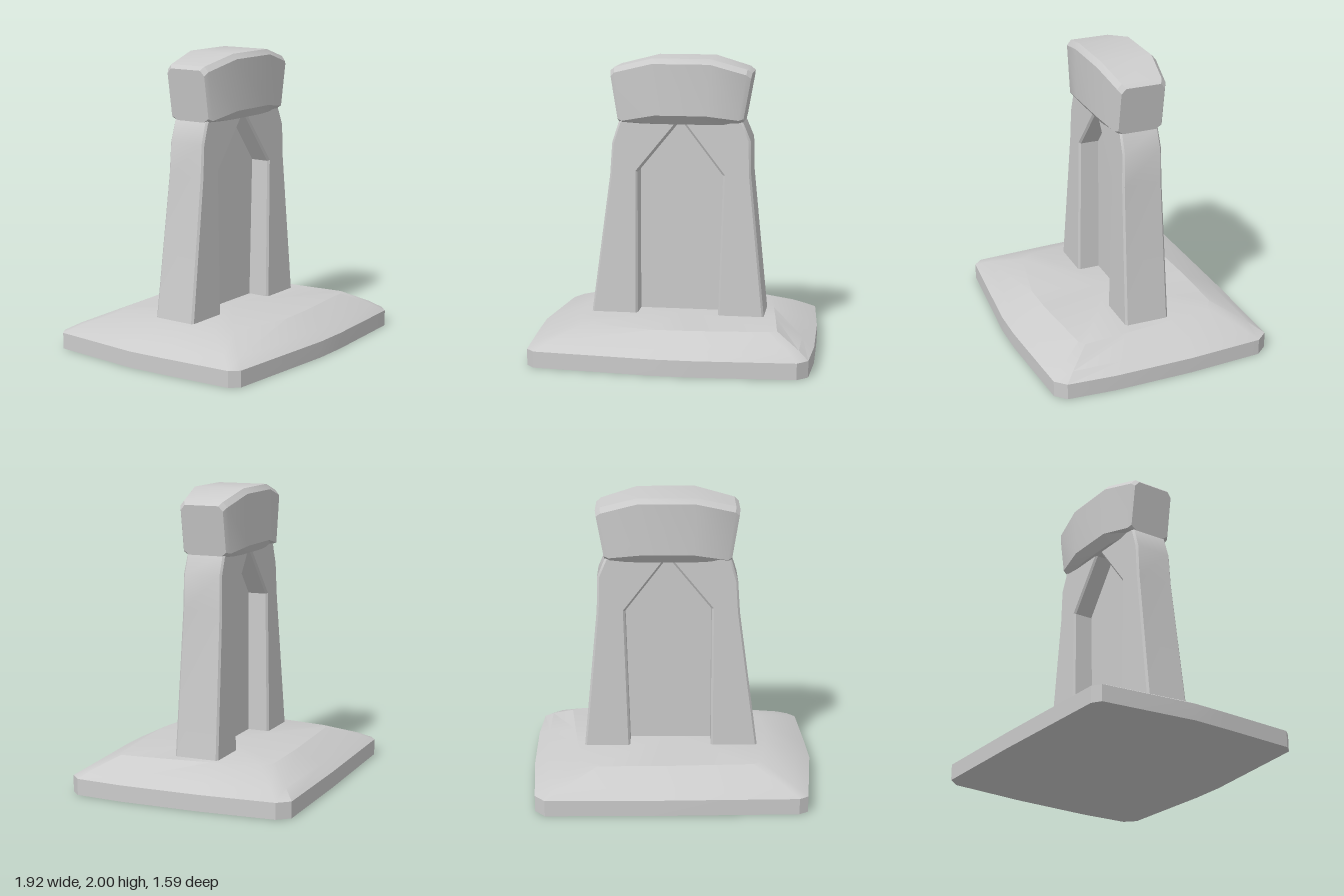
import * as THREE from 'three';
import { toCreasedNormals } from 'three/addons/utils/BufferGeometryUtils.js';

const CENTRE_Z = -0.026; // middle of the standing stones

// Closed skin over rings of [x, y, z], each running counterclockwise about the loft direction
function loft(rings) {
  const pos = [];
  const n = rings[0].length;
  const tri = (a, b, c) => pos.push(...a, ...b, ...c);
  const centre = (r) => [0, 1, 2].map((k) => r.reduce((s, p) => s + p[k], 0) / n);
  const first = rings[0], last = rings[rings.length - 1];
  const c0 = centre(first), c1 = centre(last);
  for (let j = 0; j < n; j++) {
    const k = (j + 1) % n;
    for (let i = 0; i < rings.length - 1; i++) {
      const a = rings[i], b = rings[i + 1];
      tri(a[j], a[k], b[k]);
      tri(a[j], b[k], b[j]);
    }
    tri(c0, first[k], first[j]);
    tri(c1, last[j], last[k]);
  }
  const g = new THREE.BufferGeometry();
  g.setAttribute('position', new THREE.Float32BufferAttribute(pos, 3));
  return g;
}

function polygon(points) {
  return new THREE.Shape(points.map(([x, y]) => new THREE.Vector2(x, y)));
}

// Low slab: upright rim, then a slightly bulging slope to a flat top
function baseGeometry() {
  const rim = [
    [-0.87, 0.72], [-0.05, 0.79], [0.2, 0.79], [0.87, 0.75], [0.94, 0.68],
    [0.96, 0.35], [0.95, -0.2], [0.91, -0.72], [0.84, -0.8], [0.1, -0.8],
    [-0.84, -0.78], [-0.9, -0.74], [-0.965, -0.1], [-0.955, 0.15], [-0.925, 0.66],
  ];
  const top = [
    [-0.58, 0.45], [-0.1, 0.55], [0.15, 0.545], [0.67, 0.5], [0.72, 0.47],
    [0.68, 0.1], [0.65, -0.15], [0.6, -0.48], [0.5, -0.54], [0.1, -0.54],
    [-0.55, -0.51], [-0.6, -0.47], [-0.65, -0.1], [-0.66, 0.1], [-0.64, 0.34],
  ];
  const ring = (t, y) => rim.map(([x, z], i) => [
    THREE.MathUtils.lerp(x, top[i][0], t), y, THREE.MathUtils.lerp(z, top[i][1], t),
  ]);
  return loft([ring(0, 0), ring(0, 0.11), ring(0.3, 0.158), ring(1, 0.242)]);
}

// Two leaning pillars meeting in a pointed arch, thinner towards the top
function archGeometry() {
  const shape = polygon([
    [-0.595, 0.2], [-0.27, 0.2], [-0.27, 1.225], [0, 1.555], [0.05, 1.555],
    [0.315, 1.21], [0.285, 0.2], [0.605, 0.2], [0.505, 1.22], [0.5, 1.45],
    [0.445, 1.58], [0.4, 1.61], [-0.36, 1.61], [-0.4, 1.56], [-0.445, 1.42], [-0.46, 1.2],
  ]);
  const bevel = 0.014, depth = 0.31;
  const g = new THREE.ExtrudeGeometry(shape, {
    depth: depth - 2 * bevel, bevelEnabled: true, bevelSegments: 1,
    bevelThickness: bevel, bevelSize: bevel, bevelOffset: -bevel,
  });
  g.translate(0, 0, bevel - depth / 2);
  const p = g.attributes.position;
  for (let i = 0; i < p.count; i++) {
    const taper = 1 - 0.13 * (p.getY(i) - 0.24) / 1.32;
    p.setZ(i, p.getZ(i) * taper + CENTRE_Z);
  }
  return g;
}

// Capstone: octagonal sections along x, deepest in the middle, ends leaning outward
function capGeometry() {
  const stations = [ // x, top y, lower side y, half depth
    [-0.455, 1.91, 1.59, 0.15], [-0.425, 1.935, 1.575, 0.165],
    [-0.16, 2, 1.62, 0.206], [0.23, 2, 1.62, 0.206],
    [0.475, 1.93, 1.59, 0.168], [0.51, 1.905, 1.6, 0.15],
  ];
  return loft(stations.map(([x, yt, yl, w]) => {
    const section = [
      [yt, -w + 0.03], [yt, w - 0.03], [yt - 0.035, w], [yl, w],
      [1.557, w - 0.05], [1.557, -w + 0.05], [yl, -w], [yt - 0.035, -w],
    ];
    return section.map(([y, z]) => [x * (1 - 0.35 * Math.max(0, 1.92 - y)), y, z + CENTRE_Z]);
  }));
}

// Thin sheet closing the doorway halfway through the arch
function panelGeometry() {
  const g = new THREE.ShapeGeometry(polygon([
    [-0.3, 0.22], [0.32, 0.22], [0.34, 1.23], [0.06, 1.58], [-0.01, 1.58], [-0.3, 1.24],
  ]));
  return g.translate(0, 0, CENTRE_Z);
}

export function createModel() {
  const group = new THREE.Group();
  group.name = 'stoneGate';
  const stone = new THREE.MeshStandardMaterial({ color: 0xcccccc });
  const sheet = new THREE.MeshStandardMaterial({ color: 0xcccccc, side: THREE.DoubleSide });
  const add = (name, geometry, material = stone) => {
    const mesh = new THREE.Mesh(toCreasedNormals(geometry, 0.4), material);
    mesh.name = name;
    group.add(mesh);
  };
  add('base', baseGeometry());
  add('archPillars', archGeometry());
  add('capstone', capGeometry());
  add('doorPanel', panelGeometry(), sheet);
  return group;
}
